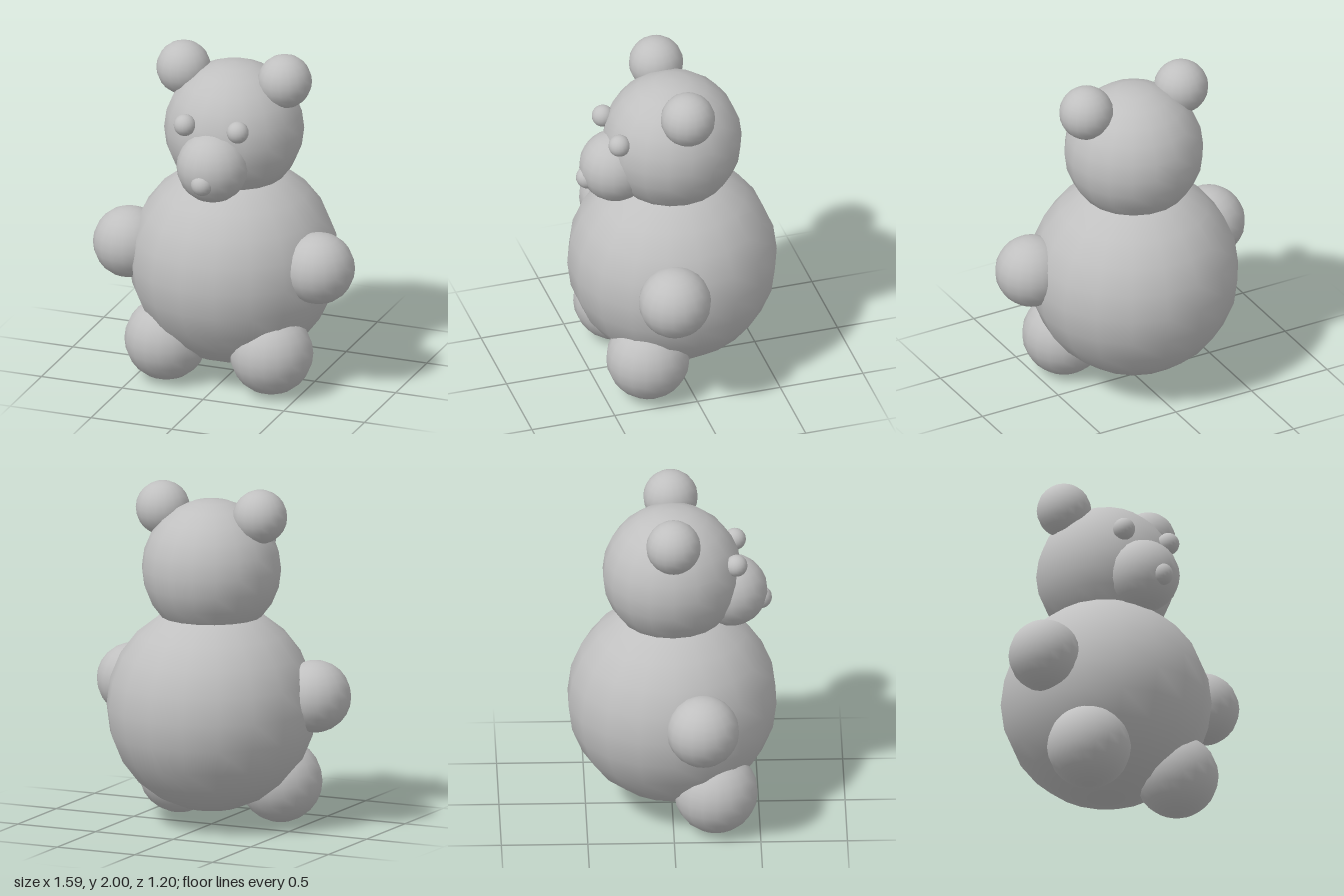
import * as THREE from 'three';

export function createModel() {
  const bear = new THREE.Group();
  bear.name = 'bear';
  const grey = new THREE.MeshStandardMaterial({ color: 0xc0c0c0 });
  grey.name = 'grey';

  const ball = (name, radius, x, y, z) => {
    const mesh = new THREE.Mesh(new THREE.SphereGeometry(radius, 18, 12), grey);
    mesh.name = name;
    mesh.position.set(x, y, z);
    bear.add(mesh);
  };

  // Parts on the centre line
  ball('body', 0.61, 0, 0.7, 0);
  ball('head', 0.405, 0, 1.513, 0);
  ball('snout', 0.21, 0, 1.394, 0.343);
  ball('nose', 0.066, 0, 1.343, 0.512);

  // Mirrored pairs
  for (const [side, s] of [['left', 1], ['right', -1]]) {
    ball(side + 'Ear', 0.158, s * 0.313, 1.842, 0);
    ball(side + 'Eye', 0.064, s * 0.164, 1.637, 0.368);
    ball(side + 'Arm', 0.21, s * 0.587, 0.78, 0.163);
    ball(side + 'Leg', 0.243, s * 0.325, 0.247, 0.245);
  }
  return bear;
}
